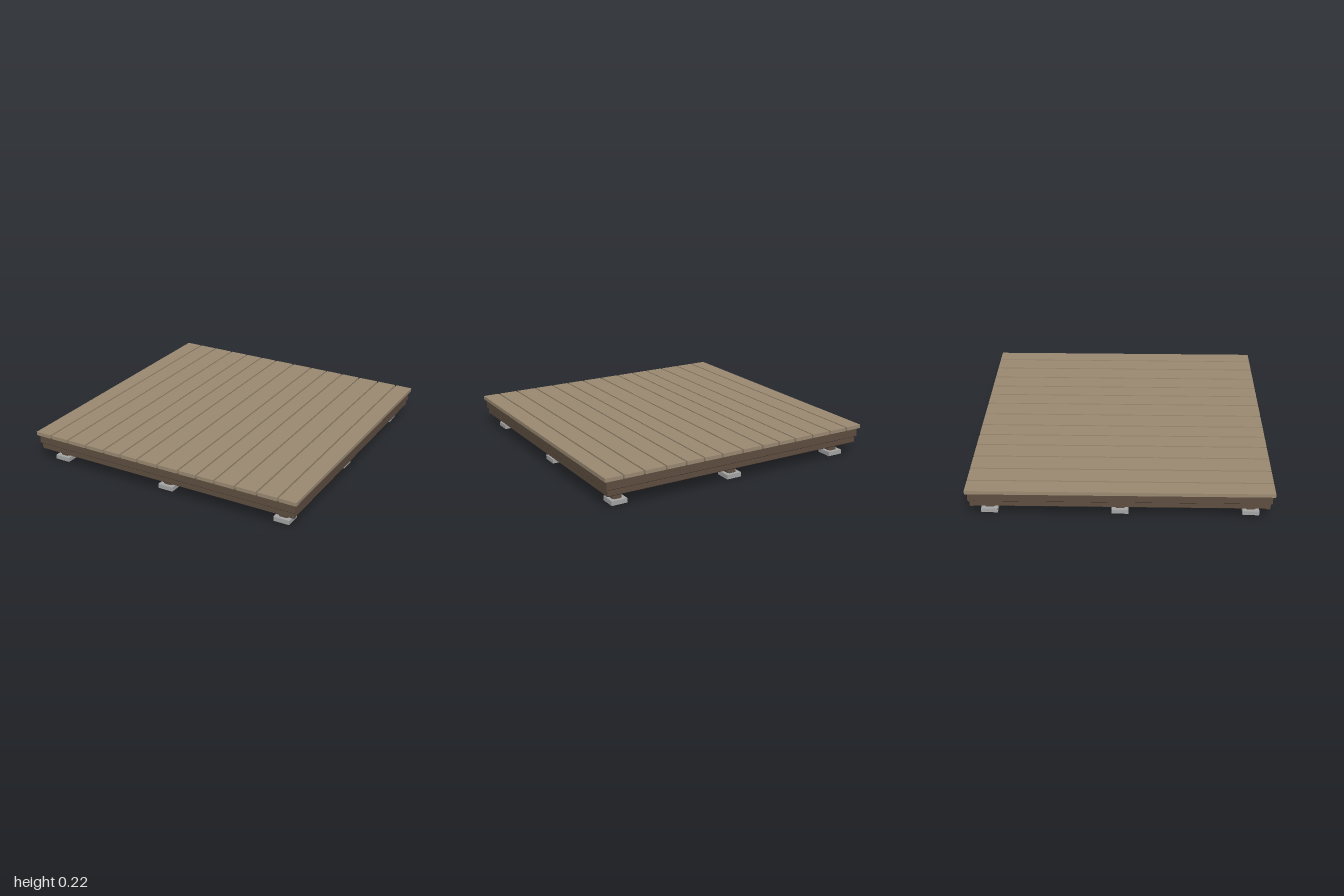
import * as THREE from 'three';

const plankWood = new THREE.MeshStandardMaterial({ color: 0x9b8a72 });
plankWood.name = 'plank wood';
const frameWood = new THREE.MeshStandardMaterial({ color: 0x5f4e40 });
frameWood.name = 'frame wood';
const concrete = new THREE.MeshStandardMaterial({ color: 0xa6a6a6 });
concrete.name = 'concrete';

// Timber with chamfered long edges: section w by h, running along z
function timberGeometry(w, h, length, c = 0.005) {
  const a = w / 2, b = h / 2;
  const section = new THREE.Shape([
    [-a + c, -b], [a - c, -b], [a, -b + c], [a, b - c],
    [a - c, b], [-a + c, b], [-a, b - c], [-a, -b + c],
  ].map(([x, y]) => new THREE.Vector2(x, y)));
  return new THREE.ExtrudeGeometry(section, { depth: length, bevelEnabled: false })
    .translate(0, 0, -length / 2);
}

export function createModel() {
  const deck = new THREE.Group();
  deck.name = 'deck';

  function add(name, geometry, material, x, y, z) {
    const mesh = new THREE.Mesh(geometry, material);
    mesh.name = name;
    mesh.position.set(x, y, z);
    deck.add(mesh);
  }

  // Timber lying along x or z between two heights
  function beam(name, axis, width, y0, y1, length, x, z) {
    const geometry = timberGeometry(width, y1 - y0, length);
    if (axis === 'x') geometry.rotateY(Math.PI / 2);
    add(name, geometry, frameWood, x, (y0 + y1) / 2, z);
  }

  // Deck boards of uneven width, split at the gap centres
  const gaps = [-0.875, -0.73, -0.578, -0.43, -0.296, -0.16, -0.004,
    0.155, 0.291, 0.425, 0.573, 0.728, 0.874];
  const edges = [-1.006, ...gaps, 1.006];
  for (let i = 0; i < edges.length - 1; i++) {
    const width = edges[i + 1] - edges[i] - 0.012;
    add('plank', new THREE.BoxGeometry(width, 0.025, 2), plankWood,
      (edges[i] + edges[i + 1]) / 2, 0.2125, 0);
  }

  // Two-step rim around the frame
  for (const s of [-1, 1]) {
    beam('upperRim', 'x', 0.036, 0.135, 0.2, 1.97, 0, s * 0.967);
    beam('upperSideRim', 'z', 0.036, 0.135, 0.2, 1.898, s * 0.967, 0);
    beam('lowerRim', 'x', 0.03, 0.092, 0.137, 1.95, 0, s * 0.96);
    beam('lowerSideRim', 'z', 0.03, 0.092, 0.137, 1.89, s * 0.96, 0);
  }

  // Joists under the boards, wider where they rest on posts
  for (const z of [-0.86, -0.43, 0, 0.43, 0.86]) {
    const width = Math.abs(z) === 0.43 ? 0.072 : 0.095;
    beam('joist', 'x', width, 0.12, 0.2, 1.9, 0, z);
  }

  // Posts and footings around the edge, none at the centre
  const postGeometry = timberGeometry(0.065, 0.065, 0.1, 0.01).rotateX(Math.PI / 2);
  const footGeometry = new THREE.BoxGeometry(0.11, 0.03, 0.11);
  for (const x of [-0.86, 0, 0.86]) {
    for (const z of [-0.86, 0, 0.86]) {
      if (x === 0 && z === 0) continue;
      add('post', postGeometry, frameWood, x, 0.075, z);
      add('footing', footGeometry, concrete, x, 0.015, z);
    }
  }
  return deck;
}
